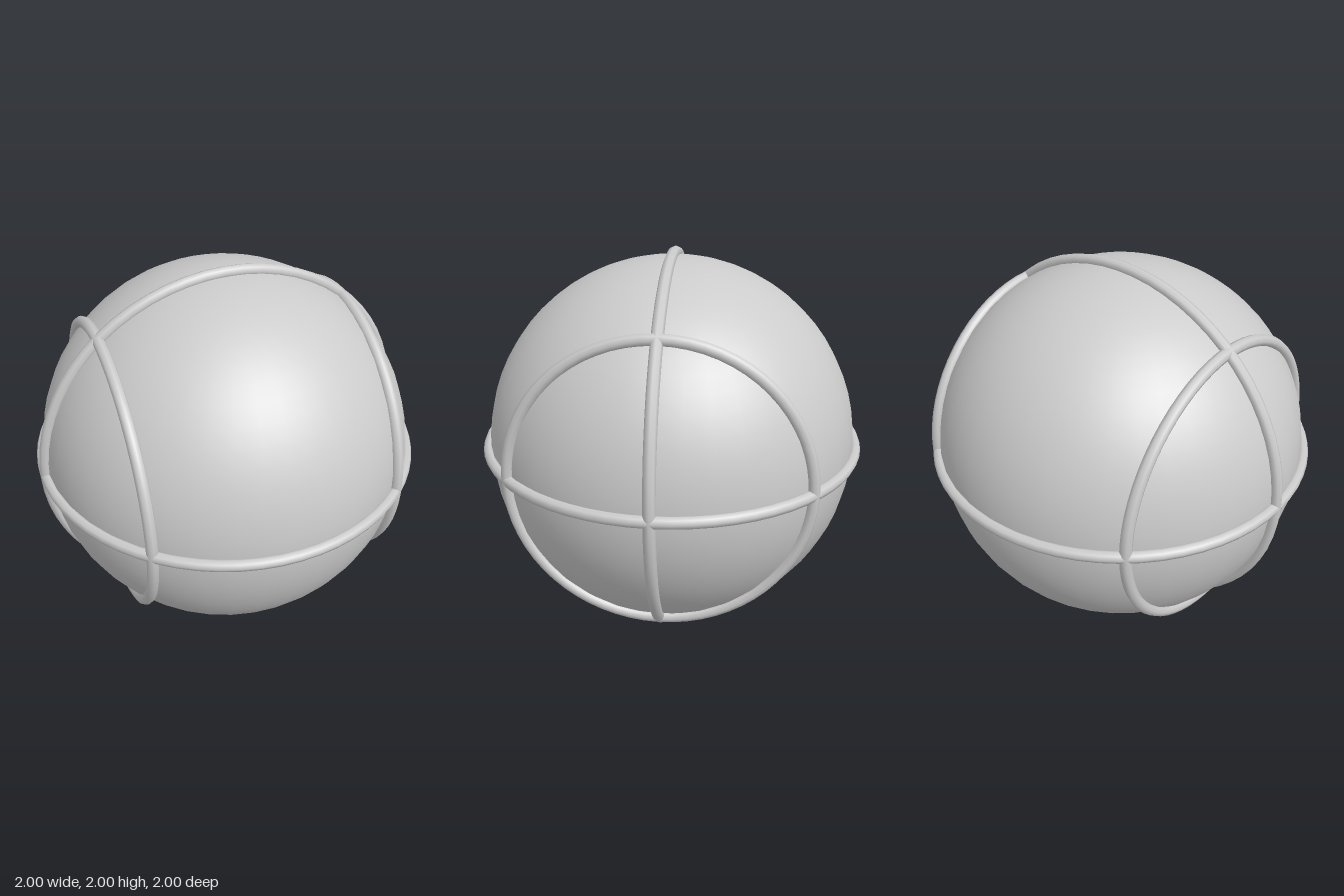
import * as THREE from 'three';

const CENTRE_Y = 1;
const BALL_RADIUS = 0.96;
const SEAM_RADIUS = 0.97; // distance of every seam's centre line from the ball's centre
const TUBE = 0.03;
const SIDE_X = 0.635;

export function createModel() {
  const group = new THREE.Group();
  const material = new THREE.MeshStandardMaterial({ color: 0xcccccc });

  const add = (name, geometry) => {
    const mesh = new THREE.Mesh(geometry, material);
    mesh.name = name;
    mesh.position.y = CENTRE_Y;
    group.add(mesh);
    return mesh;
  };
  const addSeam = (name, radius) => add(name, new THREE.TorusGeometry(radius, TUBE, 8, 64));

  // Ball
  add('ball', new THREE.SphereGeometry(BALL_RADIUS, 40, 32));

  // Two great-circle seams, crossing on the left and right
  addSeam('verticalSeam', SEAM_RADIUS);
  addSeam('horizontalSeam', SEAM_RADIUS).rotation.x = Math.PI / 2;

  // Smaller ring seams on either side
  const sideRadius = Math.sqrt(SEAM_RADIUS ** 2 - SIDE_X ** 2);
  for (const [name, side] of [['leftSeam', 1], ['rightSeam', -1]]) {
    const ring = addSeam(name, sideRadius);
    ring.rotation.y = Math.PI / 2;
    ring.position.x = side * SIDE_X;
  }

  return group;
}
